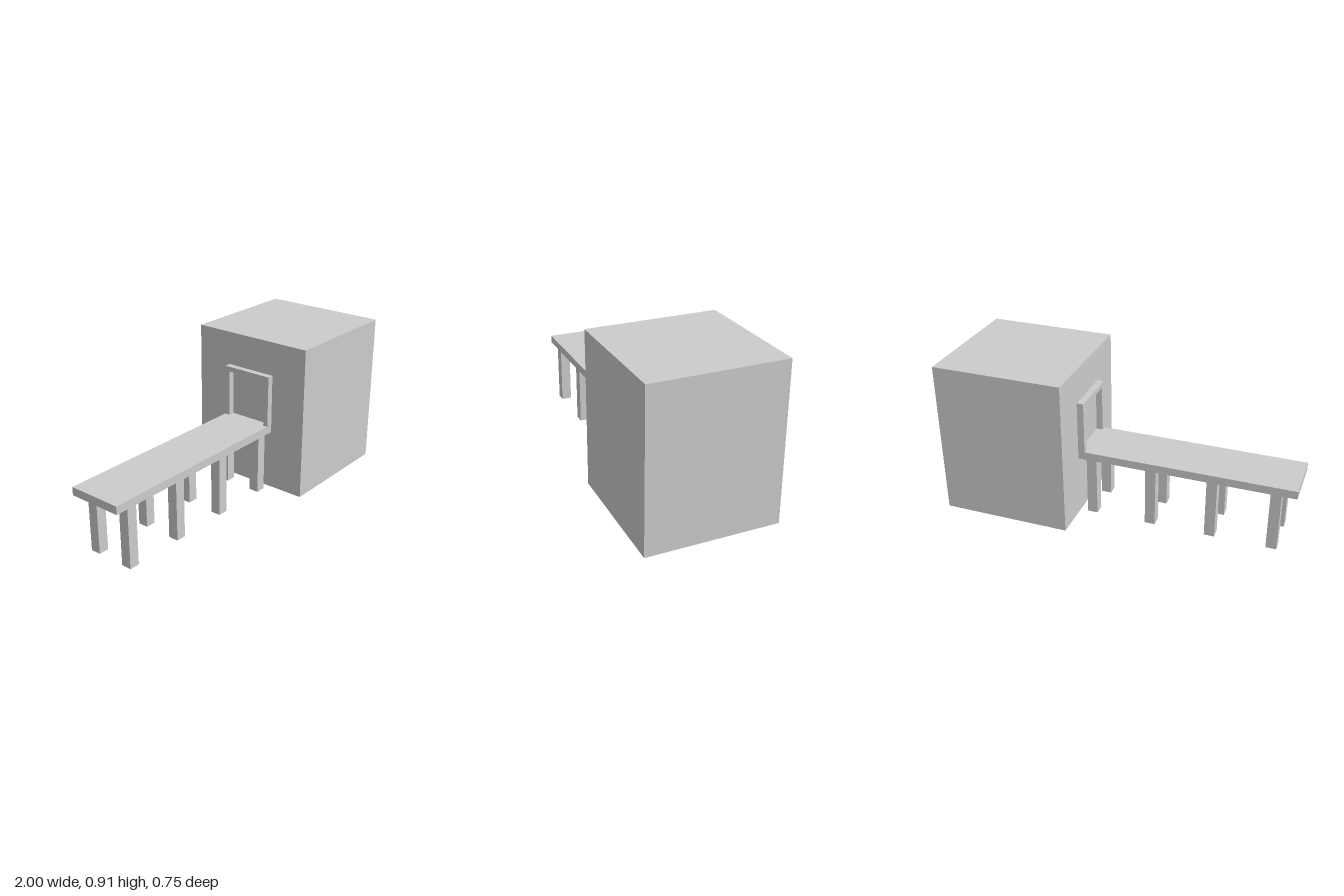
import * as THREE from 'three';

const material = new THREE.MeshStandardMaterial({ color: 0xcccccc, flatShading: true });

// Box given by its min and max along each axis
function block(name, [x0, x1], [y0, y1], [z0, z1]) {
  const mesh = new THREE.Mesh(new THREE.BoxGeometry(x1 - x0, y1 - y0, z1 - z0), material);
  mesh.position.set((x0 + x1) / 2, (y0 + y1) / 2, (z0 + z1) / 2);
  mesh.name = name;
  return mesh;
}

export function createModel() {
  const model = new THREE.Group();
  model.name = 'boathouseWithPier';

  const wallX = 0.248, deckTop = 0.405, deckBottom = 0.358, halfWidth = 0.157;

  // Solid house block and the long deck leading to it
  model.add(block('house', [wallX, 1], [0.002, 0.908], [-0.376, 0.376]));
  model.add(block('deck', [-1, wallX], [deckBottom, deckTop], [-halfWidth, halfWidth]));

  // Door frame: an arch-shaped outline standing on the deck against the wall
  const frameHeight = 0.305, frameDepth = 0.038, trim = 0.03;
  const outline = new THREE.Shape([
    [-halfWidth, 0], [-halfWidth + trim, 0],
    [-halfWidth + trim, frameHeight - trim], [halfWidth - trim, frameHeight - trim],
    [halfWidth - trim, 0], [halfWidth, 0],
    [halfWidth, frameHeight], [-halfWidth, frameHeight],
  ].map(([x, y]) => new THREE.Vector2(x, y)));
  const frame = new THREE.Mesh(
    new THREE.ExtrudeGeometry(outline, { depth: frameDepth, bevelEnabled: false }), material);
  frame.name = 'doorFrame';
  frame.rotation.y = -Math.PI / 2;
  frame.position.set(wallX, deckTop, 0);
  model.add(frame);

  // Four pairs of square posts under the deck
  const posts = new THREE.Group();
  posts.name = 'deckPosts';
  const half = 0.03;
  for (let i = 0; i < 4; i++) {
    const x = -0.885 + i * 0.353;
    for (const z of [-0.113, 0.113]) {
      posts.add(block('post', [x - half, x + half], [0, deckBottom], [z - half, z + half]));
    }
  }
  model.add(posts);
  return model;
}
